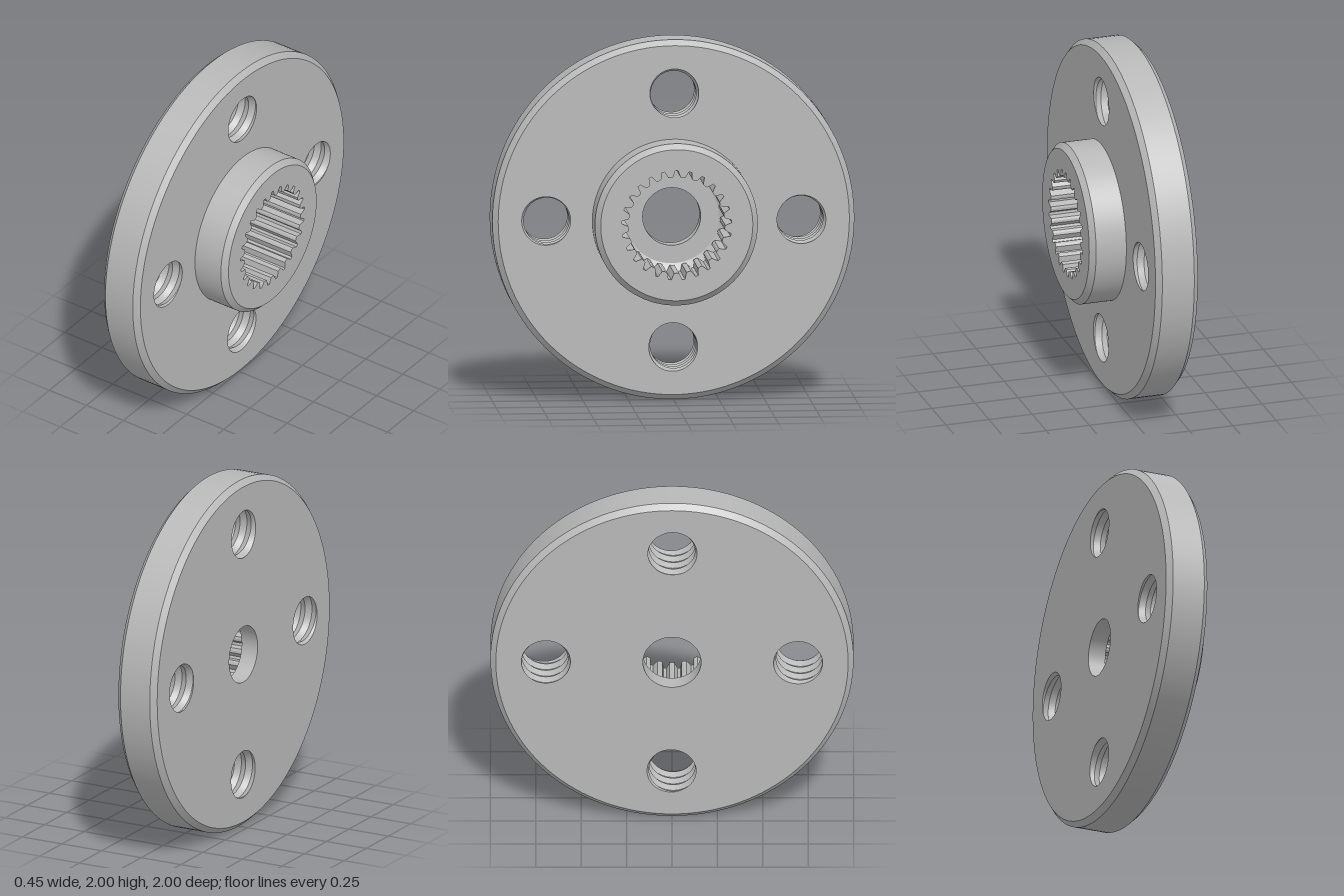
import * as THREE from 'three';

const BACK = -0.225, MID = 0.02, FRONT = 0.225; // positions along the axle
const PITCH = 0.07, TAU = Math.PI * 2;

const metal = new THREE.MeshStandardMaterial({ color: 0xb8b8b8 });
metal.name = 'brushedGrey';

const polar = (r, a) => new THREE.Vector2(r * Math.cos(a), r * Math.sin(a));
const circle = (r, n = 128) => Array.from({ length: n }, (_, i) => polar(r, (i / n) * TAU));

// Surface of revolution about z between two [radius, z] points; rising z faces outward
function band(a, b) {
  const g = new THREE.LatheGeometry([new THREE.Vector2(...a), new THREE.Vector2(...b)], 128);
  return g.rotateX(Math.PI / 2);
}

// Flat plate with holes at height z, facing +z or -z
function plate(outer, holes, z, flip = false) {
  const shape = new THREE.Shape(outer);
  holes.forEach((h) => shape.holes.push(new THREE.Path(h)));
  const g = new THREE.ShapeGeometry(shape);
  if (flip) {
    const idx = g.index.array;
    for (let i = 0; i < idx.length; i += 3) [idx[i], idx[i + 1]] = [idx[i + 1], idx[i]];
    g.computeVertexNormals();
  }
  return g.translate(0, 0, z);
}

// Inward-facing faceted wall from rows of points ordered from front to back
function wall(rows) {
  const pos = [];
  const add = (...ps) => ps.forEach((p) => pos.push(p.x, p.y, p.z));
  for (let k = 0; k + 1 < rows.length; k++) {
    const A = rows[k], B = rows[k + 1];
    for (let i = 0; i + 1 < A.length; i++) {
      add(A[i], A[i + 1], B[i]);
      add(A[i + 1], B[i + 1], B[i]);
    }
  }
  const g = new THREE.BufferGeometry();
  g.setAttribute('position', new THREE.Float32BufferAttribute(pos, 3));
  g.computeVertexNormals();
  return g;
}

// Helical thread: radius rises and falls once per pitch
const N = 64;
const phase = 0.5 - 1 / 12 - MID / PITCH;
function threadPoint(i, z, turn) {
  const u = z / PITCH - i / N + phase;
  const t = u - Math.floor(u);
  const r = 0.127 + 0.016 * (1 - Math.abs(2 * t - 1));
  const p = polar(r, (i / N) * TAU + turn);
  const c = polar(0.7, turn);
  return new THREE.Vector3(p.x + c.x, p.y + c.y, z);
}
function threadLoop(z, turn) {
  return Array.from({ length: N }, (_, i) => {
    const p = threadPoint(i, z, turn);
    return new THREE.Vector2(p.x, p.y);
  });
}
function threadWall(turn) {
  const rows = [];
  for (let k = 6; k >= -12; k--) {
    rows.push(Array.from({ length: N + 1 }, (_, i) => {
      const z = PITCH * (k / 2 + i / N - phase);
      return threadPoint(i, THREE.MathUtils.clamp(z, BACK, MID), turn);
    }));
  }
  return wall(rows);
}

// Outline of the 25-tooth splined bore
function splineLoop() {
  const pts = [];
  for (let t = 0; t < 25; t++) {
    for (const [f, r] of [[-0.1, 0.304], [0.1, 0.304], [0.3, 0.268], [0.5, 0.265], [0.7, 0.268]]) {
      pts.push(polar(r, ((t + f) / 25) * TAU + Math.PI / 2));
    }
  }
  return pts;
}

export function createModel() {
  const model = new THREE.Group();
  const body = new THREE.Group();
  body.name = 'splinedFlange';
  body.rotation.y = Math.PI / 2; // axle along x
  body.position.y = 1;
  model.add(body);
  const part = (name, geometry) => {
    const m = new THREE.Mesh(geometry, metal);
    m.name = name;
    body.add(m);
  };

  // Disc
  const c = 0.03;
  const turns = [0, 1, 2, 3].map((i) => (i * Math.PI) / 2);
  part('discRim', band([1, BACK + c], [1, MID - c]));
  part('discBackChamfer', band([1 - c, BACK], [1, BACK + c]));
  part('discFrontChamfer', band([1, MID - c], [1 - c, MID]));
  part('discFrontFace', plate(circle(1 - c), [circle(0.45), ...turns.map((t) => threadLoop(MID, t))], MID));
  part('discBackFace', plate(circle(1 - c), [circle(0.16), ...turns.map((t) => threadLoop(BACK, t))], BACK, true));
  turns.forEach((t) => part('threadedHole', threadWall(t)));

  // Hub
  part('hubSide', band([0.45, MID], [0.45, FRONT - c]));
  part('hubChamfer', band([0.45, FRONT - c], [0.45 - c, FRONT]));
  const spline = splineLoop();
  part('hubFace', plate(circle(0.45 - c), [spline], FRONT));

  // Splined bore with a tapered end, a floor and a screw hole
  const end = -0.1, floor = -0.125;
  const closed = [...spline, spline[0]];
  part('splineTeeth', wall([FRONT, end].map((z) => closed.map((p) => new THREE.Vector3(p.x, p.y, z)))));
  part('boreTaper', band([0.304, end], [0.26, floor]));
  part('boreFloor', plate(circle(0.26), [circle(0.16)], floor));
  part('screwHole', band([0.16, floor], [0.16, BACK]));

  return model;
}
